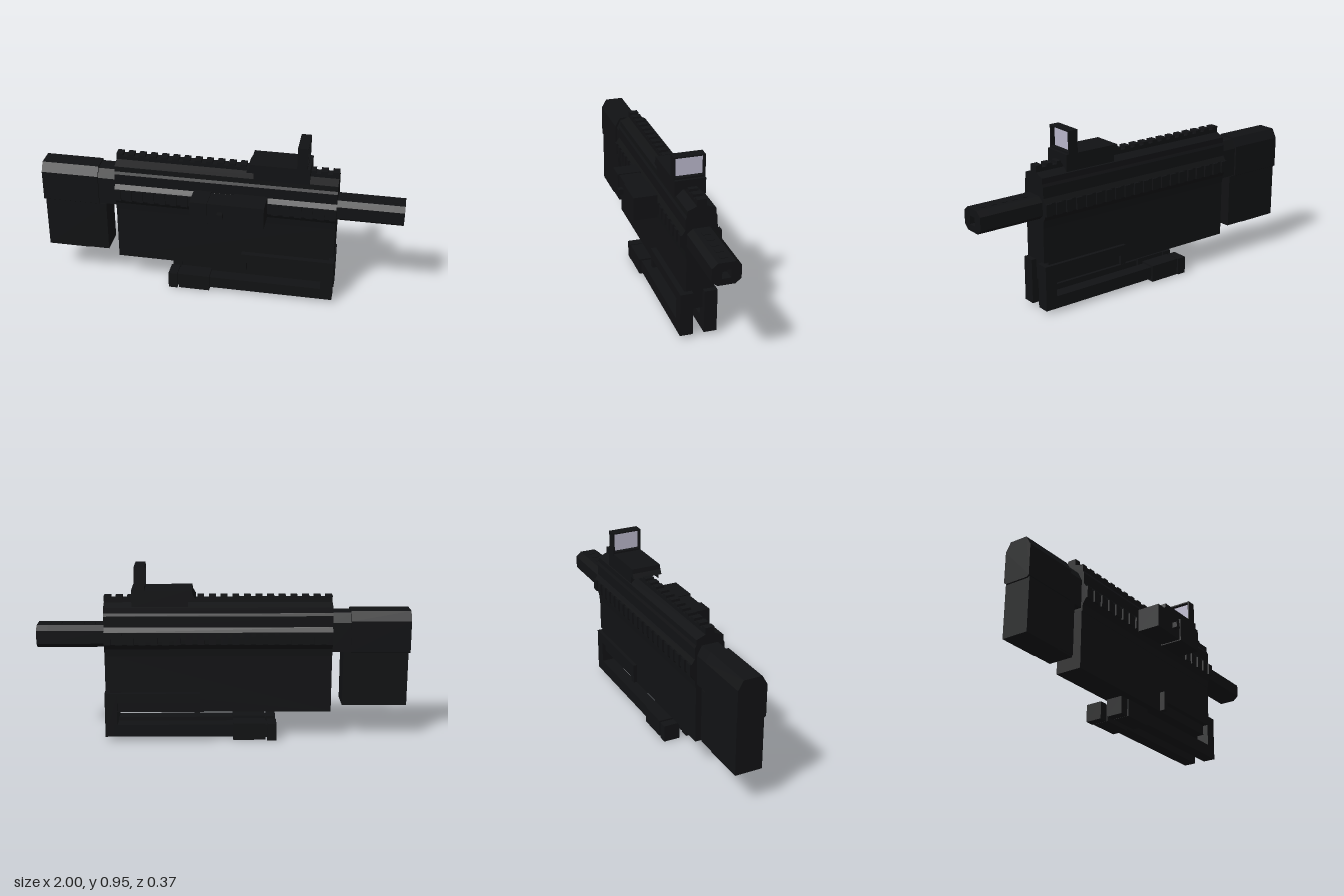
import * as THREE from 'three';

const ZC = -0.075; // middle plane of the model
const dark = new THREE.MeshStandardMaterial({ color: 0x111214, flatShading: true });
const glass = new THREE.MeshStandardMaterial({ color: 0xb8b5c9, side: THREE.DoubleSide });

export function createModel() {
  const group = new THREE.Group();

  function add(name, geometry, material = dark) {
    const mesh = new THREE.Mesh(geometry, material);
    mesh.name = name;
    group.add(mesh);
    return mesh;
  }

  // Box given by its limits
  function box(name, x0, x1, y0, y1, z0, z1, material) {
    const g = new THREE.BoxGeometry(x1 - x0, y1 - y0, z1 - z0);
    g.translate((x0 + x1) / 2, (y0 + y1) / 2, (z0 + z1) / 2);
    return add(name, g, material);
  }

  const toShape = (pts) => new THREE.Shape(pts.map(([a, b]) => new THREE.Vector2(a, b)));
  const extrude = (shape, depth) => new THREE.ExtrudeGeometry(shape, { depth, bevelEnabled: false });

  // Side outline [x, y] extruded across z
  function profile(name, pts, z0, z1) {
    return add(name, extrude(toShape(pts), z1 - z0).translate(0, 0, z0));
  }

  // Half cross-section [offset, y], mirrored and run along x, with optional hole
  function section(name, half, x0, x1, hole) {
    const mirror = (h) => [...h, ...h.map(([u, y]) => [-u, y]).reverse()];
    const shape = toShape(mirror(half));
    if (hole) shape.holes.push(toShape(mirror(hole)));
    return add(name, extrude(shape, x1 - x0).rotateY(Math.PI / 2).translate(x0, 0, ZC));
  }

  // Stock
  section('stockUpper', [[0.066, 0.48], [0.079, 0.49], [0.079, 0.66], [0.05, 0.71]], -1, -0.68);
  profile('stockLower', [
    [-0.99, 0.19], [-0.755, 0.19], [-0.74, 0.2], [-0.64, 0.2], [-0.64, 0.49], [-0.99, 0.49],
  ], -0.15, 0);
  profile('stockToe', [
    [-0.755, 0.19], [-0.64, 0.19], [-0.64, 0.3], [-0.69, 0.28], [-0.735, 0.24],
  ], -0.146, -0.004);
  section('stockConnector', [[0.07, 0.49], [0.07, 0.65], [0.045, 0.7]], -0.69, -0.57);

  // Lower body, with its front set back near the foot
  profile('lowerBody', [
    [-0.58, 0.155], [0.615, 0.155], [0.615, 0.28], [0.64, 0.28], [0.64, 0.48], [-0.58, 0.48],
  ], -0.15, 0);

  // Upper body with flared shoulders for the side rails
  section('upperBody', [
    [0.078, 0.47], [0.081, 0.51], [0.1, 0.54], [0.1, 0.605], [0.083, 0.63],
    [0.083, 0.69], [0.076, 0.705], [0.075, 0.735], [0.025, 0.755],
  ], -0.58, 0.64);

  // Top rail and side rails with teeth
  box('topRail', -0.58, 0.64, 0.75, 0.775, ZC - 0.025, ZC + 0.025);
  const teeth = 20, pitch = 1.22 / (teeth - 0.42);
  for (let i = 0; i < teeth; i++) {
    const x = -0.58 + i * pitch, e = x + pitch * 0.58;
    box('topTooth', x, e, 0.77, 0.79, ZC - 0.025, ZC + 0.025);
    for (const s of [-1, 1]) {
      const a = ZC + s * 0.095, b = ZC + s * 0.11;
      box('sideTooth', x, e, 0.54, 0.605, Math.min(a, b), Math.max(a, b));
    }
  }

  // Barrel with a square bore and raised ribs
  const barrel = [[0.045, 0.515], [0.075, 0.54], [0.075, 0.61], [0.045, 0.635]];
  section('barrel', barrel, 0.63, 0.94);
  section('muzzle', barrel, 0.94, 1, [[0.023, 0.55], [0.023, 0.595]]);
  for (let i = 0; i < 5; i++) {
    const x = 0.69 + i * 0.06;
    box('barrelRib', x, x + 0.03, 0.63, 0.638, ZC - 0.02, ZC + 0.02);
  }

  // Sight with angled clamp skirts, framed glass
  const SIGHT = 0.009;
  const skirt = section('sightBase', [
    [0.025, 0.78], [0.04, 0.78], [0.083, 0.74], [0.083, 0.83],
  ], 0.19, 0.49);
  skirt.position.z += SIGHT;
  const z0 = -0.15, z1 = 0.017;
  profile('sightRear', [
    [0.15, 0.78], [0.2, 0.78], [0.2, 0.83], [0.17, 0.83], [0.165, 0.805],
  ], z0, z1);
  box('sightFrameBottom', 0.42, 0.475, 0.82, 0.84, z0, z1);
  box('sightFrameTop', 0.42, 0.475, 0.945, 0.952, z0, z1);
  box('sightFrameSide', 0.42, 0.475, 0.83, 0.95, z0, z0 + 0.008);
  box('sightFrameSide', 0.42, 0.475, 0.83, 0.95, z1 - 0.008, z1);
  box('sightGlass', 0.444, 0.451, 0.84, 0.945, z0 + 0.008, z1 - 0.008, glass);

  // Side-mounted lamp unit
  box('lampMount', -0.1, 0.24, 0.54, 0.605, 0.02, 0.05);
  box('lampRear', -0.13, -0.035, 0.525, 0.655, 0.037, 0.167);
  box('lampMiddle', -0.035, 0.09, 0.53, 0.65, 0.042, 0.158);
  box('lampFront', 0.09, 0.27, 0.525, 0.655, 0.037, 0.167);
  box('lampKnob', 0.02, 0.05, 0.573, 0.604, 0.15, 0.187);

  // Folded support legs, one on each side
  for (const s of [-1, 1]) {
    const across = (name, x0, x1, y0, y1, a, b) => {
      const p = ZC + 0.005 + s * a, q = ZC + 0.005 + s * b;
      box(name, x0, x1, y0, y1, Math.min(p, q), Math.max(p, q));
    };
    across('legHinge', 0.578, 0.645, 0.02, 0.265, 0.03, 0.1);
    across('legUpperBar', 0.13, 0.6, 0.21, 0.265, 0.03, 0.1);
    across('legUpperEnd', 0.13, 0.16, 0.158, 0.23, 0.03, 0.1);
    across('legBar', -0.22, 0.6, 0.02, 0.088, 0.03, 0.1);
    across('footSleeve', -0.225, -0.05, 0.004, 0.097, 0.02, 0.112);
    across('footNeck', -0.24, -0.215, 0.015, 0.088, 0.03, 0.1);
    across('foot', -0.285, -0.235, 0, 0.095, 0.02, 0.112);
  }

  return group;
}
